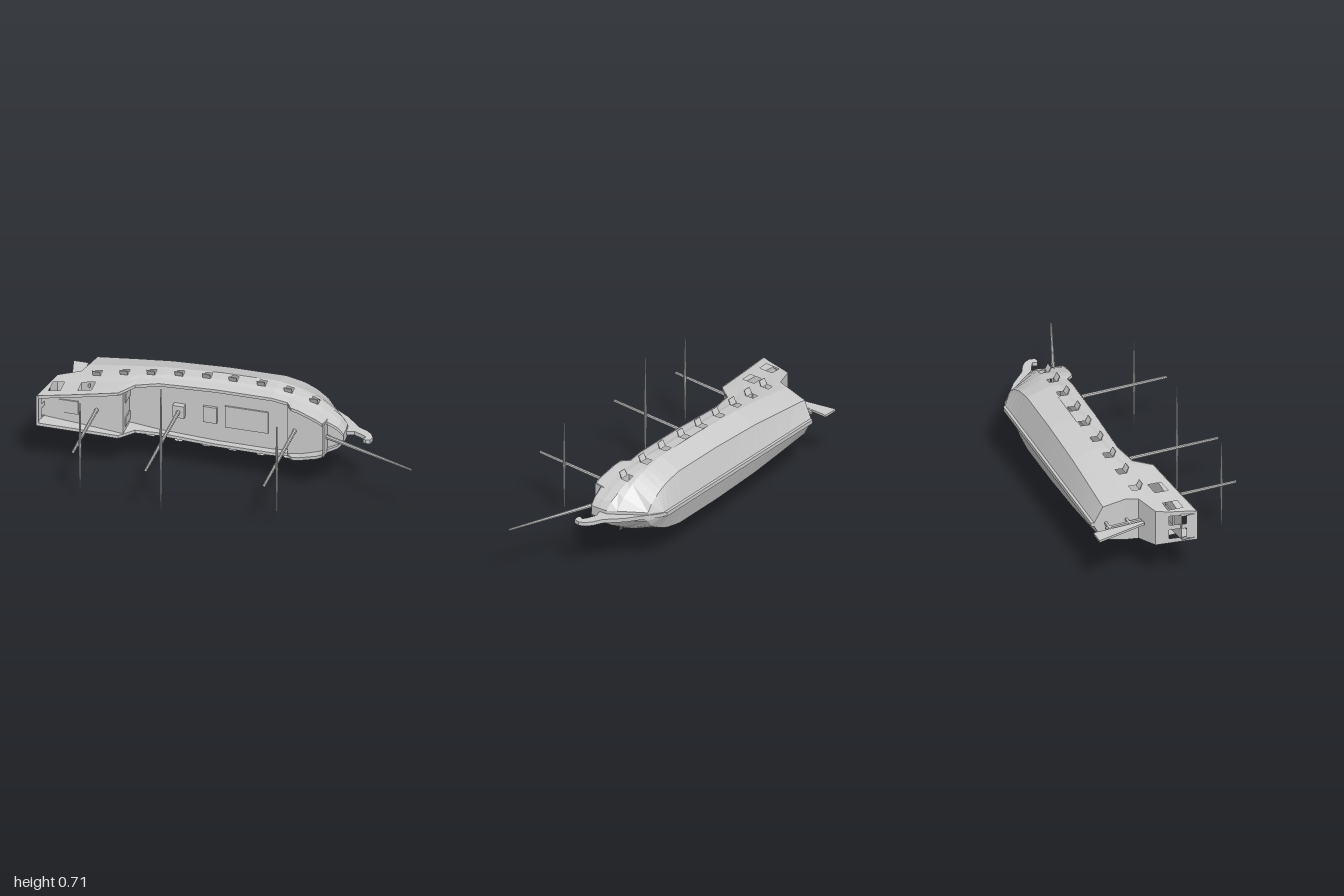
import * as THREE from 'three';

// Ship lying on its side: bow +x, masts +z, beam along y around CY
const CY = 0.357;
const mat = new THREE.MeshStandardMaterial({ color: 0xcccccc, flatShading: true, side: THREE.DoubleSide });

// Greatest half beam and rail height along the ship, as [x, value]
const PLAN = [[-1, 0.1], [-0.8, 0.125], [-0.6, 0.153], [-0.4, 0.178], [-0.1, 0.195], [0.2, 0.196], [0.35, 0.17], [0.45, 0.132], [0.55, 0.07], [0.58, 0.03]];
const SHEER = [[-1, 0.05], [-0.585, -0.018], [-0.52, -0.105], [-0.4, -0.134], [0.28, -0.13], [0.31, -0.09], [0.48, -0.07], [0.495, -0.112], [0.58, -0.12]];

function along(curve, x) {
  const i = curve.findIndex((k) => k[0] >= x);
  if (i <= 0) return i ? curve[curve.length - 1][1] : curve[0][1];
  const [x0, v0] = curve[i - 1], [x1, v1] = curve[i];
  return v0 + ((x - x0) / (x1 - x0)) * (v1 - v0);
}

// Height of the gun ports, and of lines between the ports and the rail
const portZ = (x) => -0.23 + 0.0945 * (Math.max(x, -0.8) + 0.05) ** 2;
const upperZ = (t) => (x) => THREE.MathUtils.lerp(portZ(x) + 0.0225, along(SHEER, x), t);

// Hull lines from keel to rail: ends, share of the plan beam, height
const line = (aft, fore, share, z) => ({ aft, fore, share, z });
const LINES = [
  line(-0.79, 0.37, 0, () => -0.445),
  line(-0.795, 0.38, 0, () => -0.43),
  line(-0.8, 0.45, 0.8, () => -0.385),
  line(-0.81, 0.545, 1, () => -0.26),
  line(-0.83, 0.575, 0.985, (x) => portZ(x) - 0.0225),
  line(-0.945, 0.58, 0.96, upperZ(0)),
  line(-0.965, 0.58, 0.91, upperZ(0.33)),
  line(-0.985, 0.58, 0.88, upperZ(0.76)),
  line(-1, 0.58, 0.855, upperZ(1)),
];
const PORT_ROW = 4, WINDOW_ROW = 6, RAIL = LINES[8];
const PORTS = [-0.74, -0.6, -0.46, -0.315, -0.17, -0.03, 0.12, 0.265, 0.405];
const WINDOWS = [[-0.95, -0.89], [-0.8, -0.73]];

// Point [x, half beam, z] on a hull line; the bow taper ends at the line's own stem
function sample({ aft, fore, share, z }, station) {
  const x = THREE.MathUtils.clamp(station, aft, fore);
  const u = x < 0.2 ? x : 0.2 + ((x - 0.2) * 0.38) / (fore - 0.2);
  return [x, Math.max(0.011, share * along(PLAN, u)), z(x)];
}

const stations = [...new Set([
  ...PLAN.map((k) => k[0]),
  ...SHEER.map((k) => k[0]),
  ...LINES.flatMap((l) => [l.aft, l.fore]),
  ...PORTS.flatMap((p) => [p - 0.019, p + 0.019]),
  ...WINDOWS.flat(),
])].sort((a, b) => a - b);

const at = ([x, half, z], side) => [x, CY + side * half, z];

function quad(out, a, b, c, d) { out.push(...a, ...b, ...c, ...a, ...c, ...d); }

function named(name, geometry) {
  const m = new THREE.Mesh(geometry, mat);
  m.name = name;
  return m;
}

function surface(name, data) {
  const g = new THREE.BufferGeometry();
  g.setAttribute('position', new THREE.Float32BufferAttribute(data, 3));
  g.computeVertexNormals();
  return named(name, g);
}

// Both sides with port and window openings, and the underside of the keel
function hullSides() {
  const out = [];
  for (let r = 0; r < LINES.length - 1; r++) {
    for (let i = 0; i < stations.length - 1; i++) {
      const x0 = stations[i], x1 = stations[i + 1], mid = (x0 + x1) / 2;
      if (r === PORT_ROW && PORTS.some((p) => Math.abs(mid - p) < 0.019)) continue;
      if (r === WINDOW_ROW && WINDOWS.some(([a, b]) => mid > a && mid < b)) continue;
      const [a, b, c, d] = [sample(LINES[r], x0), sample(LINES[r], x1), sample(LINES[r + 1], x1), sample(LINES[r + 1], x0)];
      quad(out, at(b, 1), at(a, 1), at(d, 1), at(c, 1));
      quad(out, at(a, -1), at(b, -1), at(c, -1), at(d, -1));
    }
  }
  const a = sample(LINES[0], -1), b = sample(LINES[0], 1);
  quad(out, at(a, -1), at(a, 1), at(b, 1), at(b, -1));
  return surface('hull', out);
}

// Closing faces across an end; the stern has two window openings
function endCap(name, x) {
  const out = [], cuts = [-1, -0.72, -0.15, 0.15, 0.72, 1];
  if (x > 0) cuts.reverse();
  for (let r = 0; r < LINES.length - 1; r++) {
    const a = sample(LINES[r], x), b = sample(LINES[r + 1], x);
    for (let i = 0; i < 5; i++) {
      if (x < 0 && r === WINDOW_ROW && i % 2) continue;
      quad(out, at(a, cuts[i + 1]), at(a, cuts[i]), at(b, cuts[i]), at(b, cuts[i + 1]));
    }
  }
  return surface(name, out);
}

// Deck floor with bulwark inside and rail cap
function deck(name, x0, x1, z0, z1) {
  const out = [];
  const xs = [x0, ...stations.filter((x) => x > x0 && x < x1), x1];
  const rings = xs.map((x) => {
    const [, half, z] = sample(RAIL, x), inner = half - 0.014;
    const floorZ = THREE.MathUtils.mapLinear(x, x0, x1, z0, z1);
    return { outer: [x, half + 0.003, z + 0.003], inner: [x, inner, z + 0.003], floor: [x, inner, floorZ] };
  });
  for (let i = 0; i < rings.length - 1; i++) {
    const a = rings[i], b = rings[i + 1];
    quad(out, at(a.floor, -1), at(b.floor, -1), at(b.floor, 1), at(a.floor, 1));
    for (const s of [1, -1]) {
      quad(out, at(a.inner, s), at(b.inner, s), at(b.outer, s), at(a.outer, s));
      quad(out, at(a.floor, s), at(b.floor, s), at(b.inner, s), at(a.inner, s));
    }
  }
  return surface(name, out);
}

function box(name, x, y, z, w, h, d) {
  const m = named(name, new THREE.BoxGeometry(w, h, d));
  m.position.set(x, CY + y, z);
  return m;
}

// Tapered round spar between two points
function spar(name, a, b, r0, r1) {
  const va = new THREE.Vector3(...a), vb = new THREE.Vector3(...b), dir = vb.clone().sub(va);
  const m = named(name, new THREE.CylinderGeometry(r1, r0, dir.length(), 8));
  m.position.copy(va).add(vb).multiplyScalar(0.5);
  m.quaternion.setFromUnitVectors(new THREE.Vector3(0, 1, 0), dir.normalize());
  return m;
}

// Flat plate in the xz plane, centred on the ship's middle
function plate(name, points, thick) {
  const shape = new THREE.Shape(points.map(([x, z]) => new THREE.Vector2(x, z)));
  const g = new THREE.ExtrudeGeometry(shape, { depth: thick, bevelEnabled: false });
  g.rotateX(Math.PI / 2).translate(0, CY + thick / 2, 0);
  return named(name, g);
}

export function createModel() {
  const ship = new THREE.Group();
  ship.name = 'sailingShip';
  ship.add(hullSides(), endCap('transom', -1), endCap('stem', 1));

  // Decks, bulkheads and stern rail
  ship.add(
    deck('poopDeck', -0.998, -0.57, -0.03, -0.045),
    deck('mainDeck', -0.57, 0.285, -0.165, -0.165),
    deck('foreDeck', 0.285, 0.49, -0.125, -0.12),
    deck('beakDeck', 0.49, 0.58, -0.135, -0.135),
    box('poopBulkhead', -0.57, 0, -0.105, 0.008, 0.25, 0.12),
    box('foreStep', 0.285, 0, -0.145, 0.008, 0.285, 0.04),
    box('beakBulkhead', 0.488, 0, -0.1, 0.008, 0.19, 0.06),
    box('sternRail', -0.993, 0, 0.047, 0.014, 0.168, 0.012),
  );
  for (const s of [1, -1]) ship.add(box('cabinDoor', -0.564, s * 0.07, -0.115, 0.008, 0.05, 0.08));

  // Hatches and mast step
  ship.add(
    box('grating', 0.055, 0, -0.163, 0.23, 0.125, 0.012),
    box('hatch', -0.138, 0, -0.16, 0.072, 0.092, 0.018),
    box('mastStep', -0.3, 0, -0.155, 0.06, 0.07, 0.04),
    box('poopHatch', -0.85, 0, -0.035, 0.1, 0.075, 0.014),
  );

  // Open port lids, hinged on the upper edge of each port
  for (const x of PORTS) {
    const [, half, z] = sample(LINES[PORT_ROW + 1], x);
    for (const s of [1, -1]) {
      const lid = box('portLid', x, s * (half + 0.014), z + 0.005, 0.042, 0.036, 0.005);
      lid.rotation.x = s * 0.45;
      ship.add(lid);
    }
  }

  // Masts [x, foot, top] with one yard each [x, z, half length]
  const rig = [
    ['mizzen', -0.705, -0.04, 0.39, -0.69, 0.315, 0.25],
    ['main', -0.3, -0.165, 0.46, -0.283, 0.24, 0.357],
    ['fore', 0.32, -0.125, 0.435, 0.337, 0.262, 0.25],
  ];
  for (const [name, x, foot, top, yx, yz, half] of rig) {
    ship.add(spar(name + 'Mast', [x, CY, foot], [x, CY, top], 0.011, 0.008));
    for (const s of [1, -1]) ship.add(spar(name + 'Yard', [yx, CY, yz], [yx, CY + s * half, yz], 0.008, 0.003));
  }
  ship.add(spar('bowsprit', [0.49, CY, -0.115], [0.998, CY, 0.08], 0.012, 0.006));

  // Beak and rudder
  ship.add(
    plate('beak', [[0.36, -0.443], [0.41, -0.42], [0.48, -0.365], [0.55, -0.315], [0.63, -0.235], [0.68, -0.21], [0.71, -0.185], [0.725, -0.155], [0.72, -0.125], [0.695, -0.12], [0.68, -0.128], [0.69, -0.15], [0.665, -0.165], [0.62, -0.185], [0.57, -0.17], [0.53, -0.26], [0.44, -0.37]], 0.022),
    plate('rudder', [[-0.95, -0.465], [-0.87, -0.465], [-0.865, -0.19], [-0.885, -0.19]], 0.012),
    plate('rudderPost', [[-0.856, -0.39], [-0.842, -0.39], [-0.836, -0.19], [-0.85, -0.19]], 0.012),
  );
  for (const z of [-0.37, -0.26]) ship.add(box('rudderHinge', -0.835, 0, z, 0.07, 0.014, 0.012));
  return ship;
}
